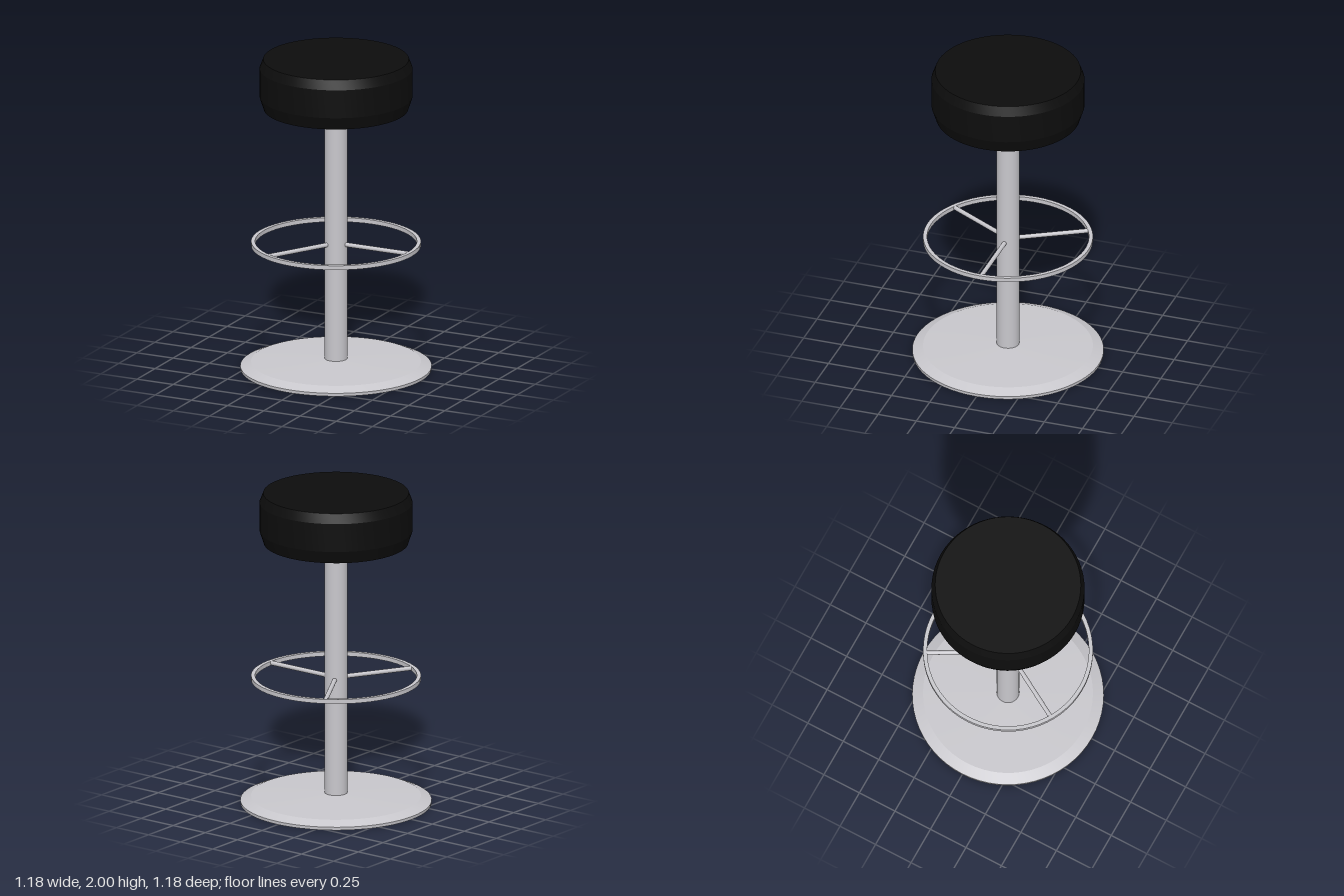
import * as THREE from 'three';
import { toCreasedNormals } from 'three/addons/utils/BufferGeometryUtils.js';

const chrome = new THREE.MeshStandardMaterial({ color: 0xc8c7cc });
chrome.name = 'brushed metal';
const vinyl = new THREE.MeshStandardMaterial({ color: 0x0d0d0d });
vinyl.name = 'black vinyl';

// Turned part from [radius, height] pairs listed bottom to top
function turned(name, profile, material, segments = 64) {
  const points = profile.map(([r, y]) => new THREE.Vector2(r, y));
  const geometry = toCreasedNormals(new THREE.LatheGeometry(points, segments), 0.2);
  const mesh = new THREE.Mesh(geometry, material);
  mesh.name = name;
  return mesh;
}

// Round rod lying along x between two distances from the axis
function rod(name, x0, x1, y, radius, material) {
  const geometry = new THREE.CylinderGeometry(radius, radius, x1 - x0, 16);
  geometry.rotateZ(Math.PI / 2);
  geometry.translate((x0 + x1) / 2, y, 0);
  const mesh = new THREE.Mesh(geometry, material);
  mesh.name = name;
  return mesh;
}

export function createModel() {
  const stool = new THREE.Group();
  stool.name = 'barStool';

  // Floor base with a bevelled rim and shallow cone top
  stool.add(turned('base', [[0, 0], [0.59, 0], [0.592, 0.02], [0.525, 0.048], [0.07, 0.067], [0, 0.067]], chrome));

  // Central column
  const column = new THREE.Mesh(new THREE.CylinderGeometry(0.07, 0.07, 1.6, 40), chrome);
  column.name = 'column';
  column.position.y = 0.86;
  stool.add(column);

  // Footrest: flat hoop on three spokes
  const footrest = new THREE.Group();
  footrest.name = 'footrest';
  footrest.add(turned('footrestHoop', [[0.5, 0.796], [0.525, 0.796], [0.525, 0.823], [0.5, 0.823], [0.5, 0.796]], chrome));
  for (let i = 0; i < 3; i++) {
    const spoke = rod('footrestSpoke', 0.06, 0.505, 0.81, 0.014, chrome);
    spoke.rotation.y = (i * Math.PI * 2) / 3;
    footrest.add(spoke);
  }
  stool.add(footrest);

  // Seat cushion with bevelled edges
  stool.add(turned('seatCushion', [[0, 1.68], [0.447, 1.68], [0.473, 1.76], [0.473, 1.94], [0.45, 2], [0, 2]], vinyl));

  // Mounting plate under the seat
  stool.add(turned('mountingPlate', [[0, 1.655], [0.26, 1.655], [0.26, 1.682], [0, 1.682]], vinyl));

  // Height lever
  stool.add(rod('heightLever', 0.24, 0.365, 1.668, 0.012, vinyl));
  const pivot = new THREE.Mesh(new THREE.CylinderGeometry(0.019, 0.019, 0.035, 16), vinyl);
  pivot.name = 'leverPivot';
  pivot.position.set(0.26, 1.657, 0);
  stool.add(pivot);

  return stool;
}
